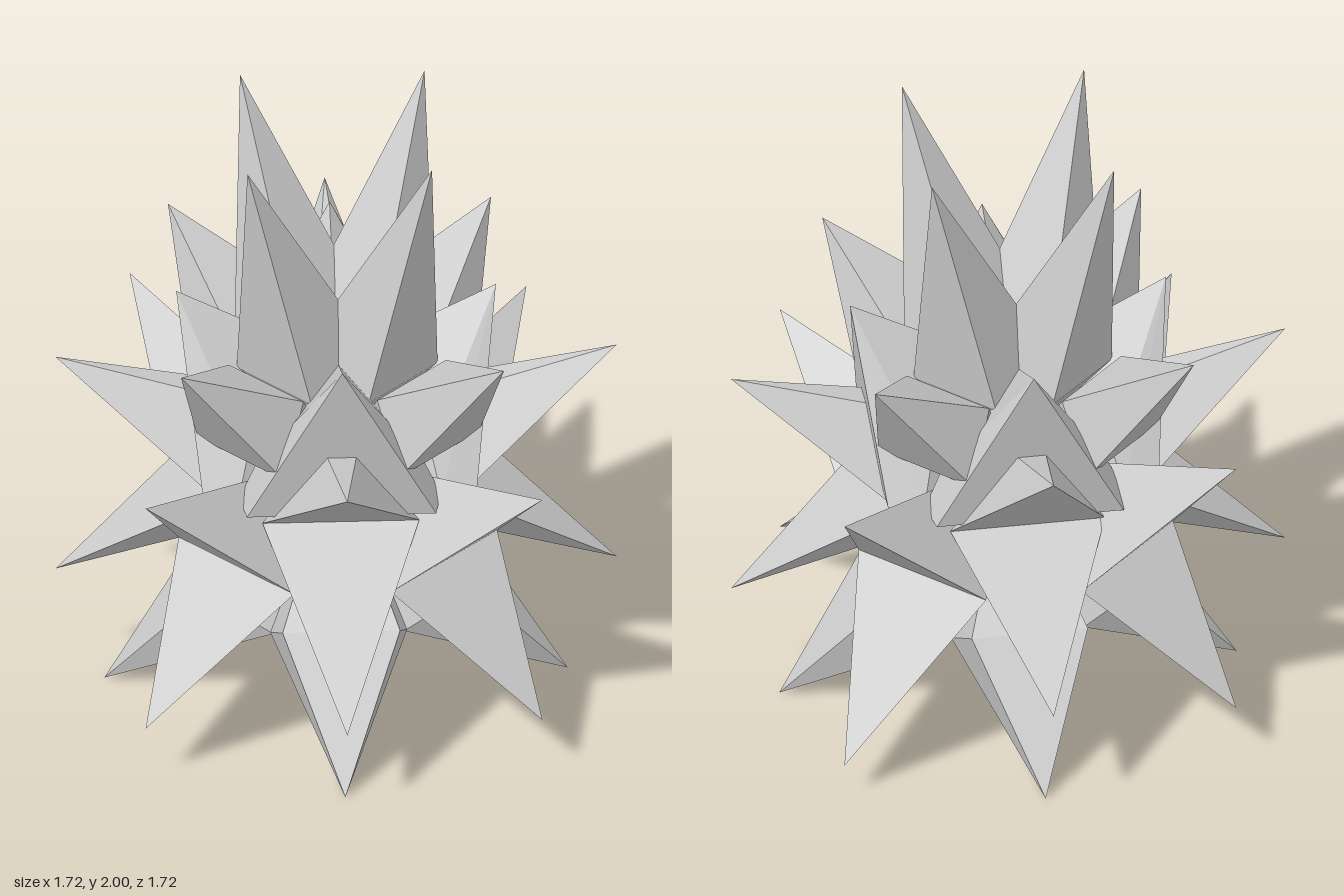
import * as THREE from 'three';
import { ConvexGeometry } from 'three/addons/geometries/ConvexGeometry.js';

const CENTRE_Y = 0.785;
const material = new THREE.MeshStandardMaterial({ color: 0xcccccc, flatShading: true });

// One spike as a hull: points are [outward, height, sideways], turned about y
function spike(name, angle, tip, corners) {
  const points = [tip, ...corners, [0, CENTRE_Y, 0]].map(([r, y, t]) =>
    new THREE.Vector3(r, y, t).applyAxisAngle(new THREE.Vector3(0, 1, 0), angle));
  const mesh = new THREE.Mesh(new ConvexGeometry(points), material);
  mesh.name = name;
  return mesh;
}

// Two mirrored corners
const pair = (r, y, t) => [[r, y, t], [r, y, -t]];

export function createModel() {
  const model = new THREE.Group();
  model.name = 'spikyStar';

  // Each ring has four spikes; "diagonal" rings are turned by 45 degrees.
  // "drift" moves single tips up or down. Order on the axes: +x, -z, -x, +z;
  // on the diagonals: +x-z, -x-z, -x+z, +x+z.
  const rings = [
    { name: 'crownSpike', diagonal: true, tip: [0.4, 2],
      corners: [...pair(0.28, 1.175, 0.155), ...pair(-0.04, 1.175, 0.167)] },
    { name: 'shoulderDiagonalSpike', diagonal: true, tip: [0.7, 1.4],
      corners: [...pair(0.43, 0.98, 0.18), ...pair(0.315, 1.2, 0.155)] },
    { name: 'shoulderSpike', diagonal: false, tip: [0.49, 1.4],
      corners: [...pair(0.42, 0.84, 0.29), ...pair(0.31, 0.84, 0.31), ...pair(0.28, 0.96, 0.25), [0, 1.14, 0]] },
    { name: 'upperSideSpike', diagonal: false, tip: [0.86, 1.17], drift: [0, 0.08, 0, 0],
      corners: [...pair(0.37, 0.785, 0.24), ...pair(0.3, 1.03, 0.06)] },
    { name: 'lowerSideSpike', diagonal: false, tip: [0.86, 0.4], drift: [0, 0, 0, -0.08],
      corners: [...pair(0.37, 0.785, 0.24), [0.2, 0.58, 0]] },
    { name: 'upperDiagonalSpike', diagonal: true, tip: [0.86, 1.0], drift: [0, 0.08, 0, 0],
      corners: [...pair(0.45, 0.6, 0.24), [0.25, 0.77, 0]] },
    { name: 'lowerDiagonalSpike', diagonal: true, tip: [0.86, 0.2], drift: [-0.08, 0, 0, 0],
      corners: [...pair(0.45, 0.6, 0.24), [0.2, 0.45, 0]] },
    { name: 'footSpike', diagonal: false, tip: [0.71, 0],
      corners: [...pair(0.41, 0.41, 0.18), ...pair(0.2, 0.28, 0.21)] },
  ];

  for (const { name, diagonal, tip, drift = [0, 0, 0, 0], corners } of rings) {
    const ring = new THREE.Group();
    ring.name = name + 'Ring';
    for (let i = 0; i < 4; i++) {
      const angle = (i + (diagonal ? 0.5 : 0)) * Math.PI / 2;
      ring.add(spike(name, angle, [tip[0], tip[1] + drift[i], 0], corners));
    }
    model.add(ring);
  }

  // Solid core behind the valleys
  const core = new THREE.Mesh(new THREE.IcosahedronGeometry(0.34, 0), material);
  core.name = 'core';
  core.position.y = CENTRE_Y;
  model.add(core);

  return model;
}
